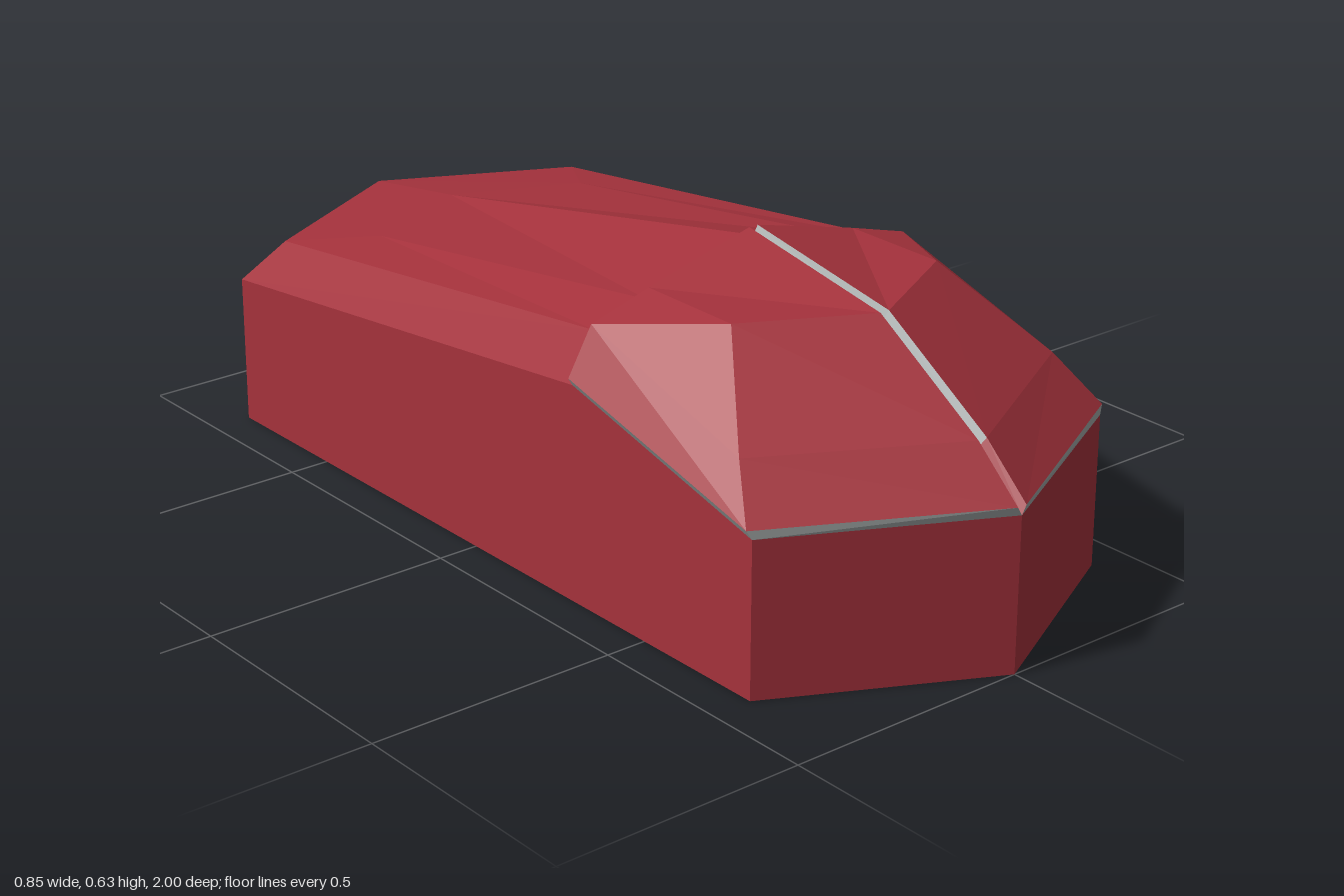
import * as THREE from 'three';

const red = new THREE.MeshStandardMaterial({ color: 0xa5323c });
red.name = 'red shell';
const grey = new THREE.MeshStandardMaterial({ color: 0xa0a6a5 });
grey.name = 'grey seam';

// Flat-faceted mesh from corner polygons on the +x side, mirrored to -x when side is -1
function facets(name, faces, material, side) {
  const pos = [];
  for (const face of faces) {
    for (let i = 1; i < face.length - 1; i++) {
      const tri = [face[0], face[i], face[i + 1]];
      if (side < 0) tri.reverse();
      for (const [x, y, z] of tri) pos.push(x * side, y, z);
    }
  }
  const geo = new THREE.BufferGeometry();
  geo.setAttribute('position', new THREE.Float32BufferAttribute(pos, 3));
  geo.computeVertexNormals();
  const mesh = new THREE.Mesh(geo, material);
  mesh.name = name;
  return mesh;
}

// Lower body: six-sided footprint, walls rising towards the seam
const base = {
  nose: [0, 0, 1], front: [0.418, 0, 0.785], rear: [0.418, 0, -0.785], tail: [0, 0, -1],
};
const rim = {
  nose: [0, 0.303, 1], front: [0.418, 0.303, 0.785], mid: [0.418, 0.425, 0.3],
  rear: [0.418, 0.303, -0.785], tail: [0, 0.303, -1],
};

// Rear cover: eave, shoulder and ridge lines falling to the tail
const rear = {
  shoulderTail: [0, 0.39, -0.9], shoulder: [0.362, 0.395, -0.705], shoulderMid: [0.365, 0.515, 0.3],
  roofTail: [0, 0.43, -0.64], roof: [0.25, 0.43, -0.53], roofMid: [0.25, 0.546, 0.3],
  ridge: [0, 0.61, 0.3],
};

// Front cover: one raised half beside the centre groove
const lid = {
  nose: [0.01, 0.32, 1], front: [0.427, 0.32, 0.78], mid: [0.427, 0.44, 0.3],
  shoulderNose: [0.01, 0.41, 0.9], shoulder: [0.375, 0.41, 0.7], shoulderMid: [0.375, 0.53, 0.3],
  roofNose: [0.01, 0.567, 0.65], roof: [0.245, 0.567, 0.525], roofMid: [0.245, 0.567, 0.3],
  ridge: [0.01, 0.627, 0.3],
};

const bodyFaces = [
  [base.nose, base.front, rim.front, rim.nose],
  [base.front, base.rear, rim.rear, rim.mid, rim.front],
  [base.rear, base.tail, rim.tail, rim.rear],
  [base.nose, base.tail, base.rear, base.front],
];

const rearFaces = [
  [rim.tail, rear.shoulderTail, rear.shoulder, rim.rear],
  [rim.rear, rear.shoulder, rear.shoulderMid, rim.mid],
  [rear.shoulderTail, rear.roofTail, rear.roof, rear.shoulder],
  [rear.roof, rear.roofMid, rear.shoulderMid, rear.shoulder],
  [rear.roofTail, rear.ridge, rear.roofMid, rear.roof],
];

const lidFaces = [
  [lid.nose, lid.front, lid.shoulder, lid.shoulderNose],
  [lid.front, lid.mid, lid.shoulderMid, lid.shoulder],
  [lid.shoulderNose, lid.shoulder, lid.roof, lid.roofNose],
  [lid.shoulderMid, lid.roofMid, lid.roof, lid.shoulder],
  [lid.roofNose, lid.roof, lid.roofMid, lid.ridge],
];

// Narrow edge faces joining the lid outline to the body and the groove floor
const outer = [lid.nose, lid.front, lid.mid, lid.shoulderMid, lid.roofMid, lid.ridge,
  lid.roofNose, lid.shoulderNose];
const inner = [rim.nose, rim.front, rim.mid, rear.shoulderMid, rear.roofMid, rear.ridge,
  [0, 0.55, 0.645], [0, 0.395, 0.893]];
const edgeFaces = outer.map((p, i) => {
  const n = (i + 1) % outer.length;
  return [p, inner[i], inner[n], outer[n]];
});
const noseGroove = [edgeFaces.pop()];

export function createModel() {
  const model = new THREE.Group();
  model.name = 'facetedCase';
  for (const side of [1, -1]) {
    const label = side > 0 ? 'left' : 'right';
    model.add(
      facets(label + 'Body', bodyFaces, red, side),
      facets(label + 'RearCover', rearFaces, red, side),
      facets(label + 'FrontLid', lidFaces, red, side),
      facets(label + 'LidEdge', edgeFaces, grey, side),
      facets(label + 'NoseGroove', noseGroove, red, side),
    );
  }
  return model;
}
